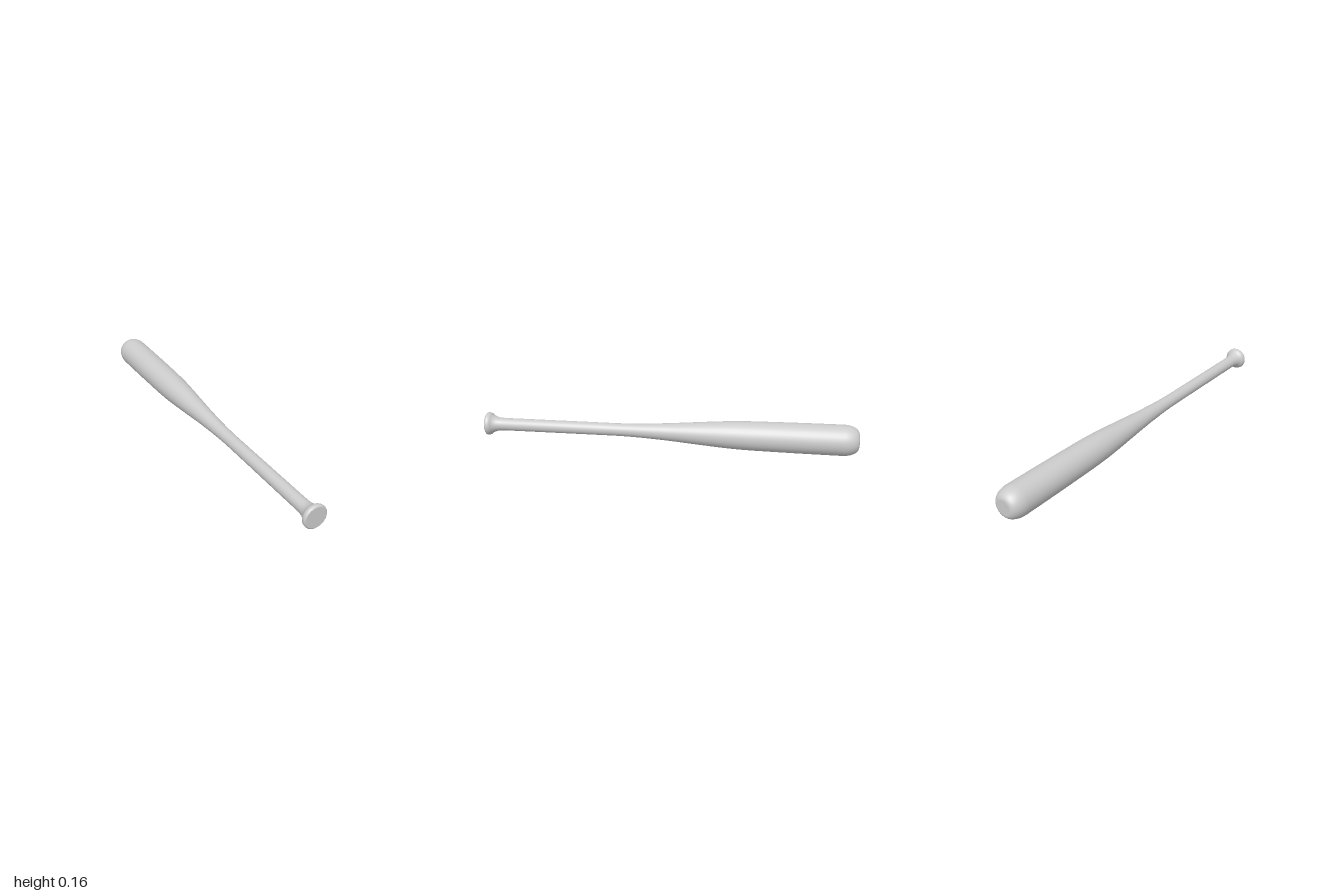
import * as THREE from 'three';

const SIDES = 32;
const AXIS_HEIGHT = 0.082;
const material = new THREE.MeshStandardMaterial({ color: 0xcccccc });

// Profiles are [radius, distance along the bat]; -1 is the knob, 1 the tip.
const toPoints = (pairs) => pairs.map(([r, d]) => new THREE.Vector2(r, d));

function turned(name, points) {
  const mesh = new THREE.Mesh(new THREE.LatheGeometry(points, SIDES), material);
  mesh.name = name;
  return mesh;
}

function endCap(name, radius, d) {
  const geometry = new THREE.CircleGeometry(radius, SIDES);
  geometry.rotateX(d > 0 ? -Math.PI / 2 : Math.PI / 2);
  geometry.translate(0, d, 0);
  const mesh = new THREE.Mesh(geometry, material);
  mesh.name = name;
  return mesh;
}

export function createModel() {
  const bat = new THREE.Group();
  bat.name = 'bat';

  // Flared knob with a rounded rim
  const knob = new THREE.SplineCurve(toPoints([
    [0.055, -1], [0.061, -0.994], [0.062, -0.985], [0.058, -0.974],
    [0.047, -0.96], [0.039, -0.94], [0.035, -0.915], [0.034, -0.88],
  ])).getPoints(28);
  bat.add(turned('knob', knob));
  bat.add(endCap('knobEnd', 0.055, -1));

  // Straight handle swelling into the barrel
  const shaft = new THREE.SplineCurve(toPoints([
    [0.034, -0.88], [0.034, -0.6], [0.034, -0.4], [0.0345, -0.25],
    [0.039, -0.13], [0.047, 0], [0.056, 0.11], [0.065, 0.22],
    [0.073, 0.33], [0.077, 0.43], [0.079, 0.55], [0.081, 0.72], [0.082, 0.92],
  ])).getPoints(48);

  // Rounded shoulder down to a small flat tip
  const flat = 0.04;
  for (let i = 1; i <= 10; i++) {
    const a = (i / 10) * Math.PI / 2;
    shaft.push(new THREE.Vector2(
      flat + (0.082 - flat) * Math.cos(a), 0.92 + 0.08 * Math.sin(a)));
  }
  bat.add(turned('handleAndBarrel', shaft));
  bat.add(endCap('barrelTip', flat, 1));

  // Lay the bat down with its knob facing the front
  bat.rotation.x = -Math.PI / 2;
  bat.position.y = AXIS_HEIGHT;

  const model = new THREE.Group();
  model.name = 'model';
  model.add(bat);
  return model;
}
